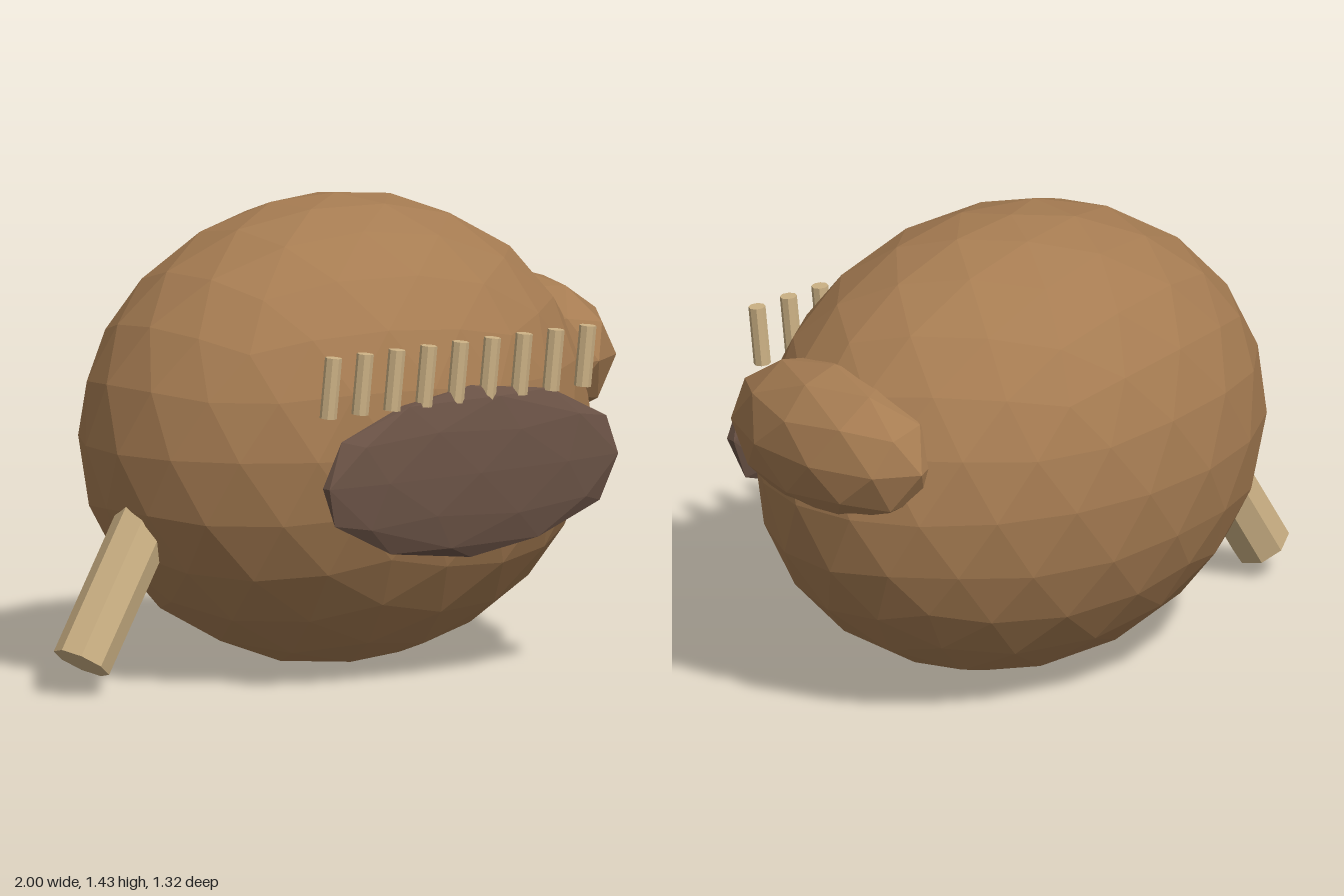
import * as THREE from 'three';

const material = (color) => new THREE.MeshStandardMaterial({ color, flatShading: true });

// Faceted ellipsoid with one icosahedron corner pointing straight up
function ellipsoid(name, detail, center, radii, mat) {
  const geometry = new THREE.IcosahedronGeometry(1, detail);
  geometry.rotateZ(-Math.atan(2 / (1 + Math.sqrt(5))));
  geometry.scale(...radii);
  const mesh = new THREE.Mesh(geometry, mat);
  mesh.name = name;
  mesh.position.set(...center);
  return mesh;
}

// Eight-sided rod running between two points
function rod(name, from, to, radius, mat) {
  const a = new THREE.Vector3(...from);
  const b = new THREE.Vector3(...to);
  const axis = b.clone().sub(a);
  const mesh = new THREE.Mesh(new THREE.CylinderGeometry(radius, radius, axis.length(), 8), mat);
  mesh.name = name;
  mesh.position.copy(a).add(b).multiplyScalar(0.5);
  mesh.quaternion.setFromUnitVectors(new THREE.Vector3(0, 1, 0), axis.normalize());
  return mesh;
}

export function createModel() {
  const model = new THREE.Group();
  model.name = 'model';
  const brown = material(0xa67c52);
  const darkBrown = material(0x6b5346);
  const tan = material(0xcdb285);

  // Round body, side bulge and flat front plate
  model.add(ellipsoid('body', 3, [0.08, 0.718, -0.02], [0.86, 0.715, 0.64], brown));
  model.add(ellipsoid('sideBulge', 1, [0.785, 0.895, -0.02], [0.226, 0.24, 0.4], brown));
  model.add(ellipsoid('frontPlate', 1, [0.08, 0.657, 0.612], [0.6, 0.262, 0.05], darkBrown));

  // Slanted stem, sunk into the body
  model.add(rod('stem', [-0.922, 0.097, -0.02], [-0.6, 0.62, -0.02], 0.091, tan));

  // Row of small pegs above the plate
  const pegs = new THREE.Group();
  pegs.name = 'pegs';
  for (let i = 0; i < 9; i++) {
    const x = -0.484 + i * 0.1257;
    pegs.add(rod('peg', [x, 0.873, 0.613], [x + 0.013, 1.058, 0.623], 0.026, tan));
  }
  model.add(pegs);

  return model;
}
